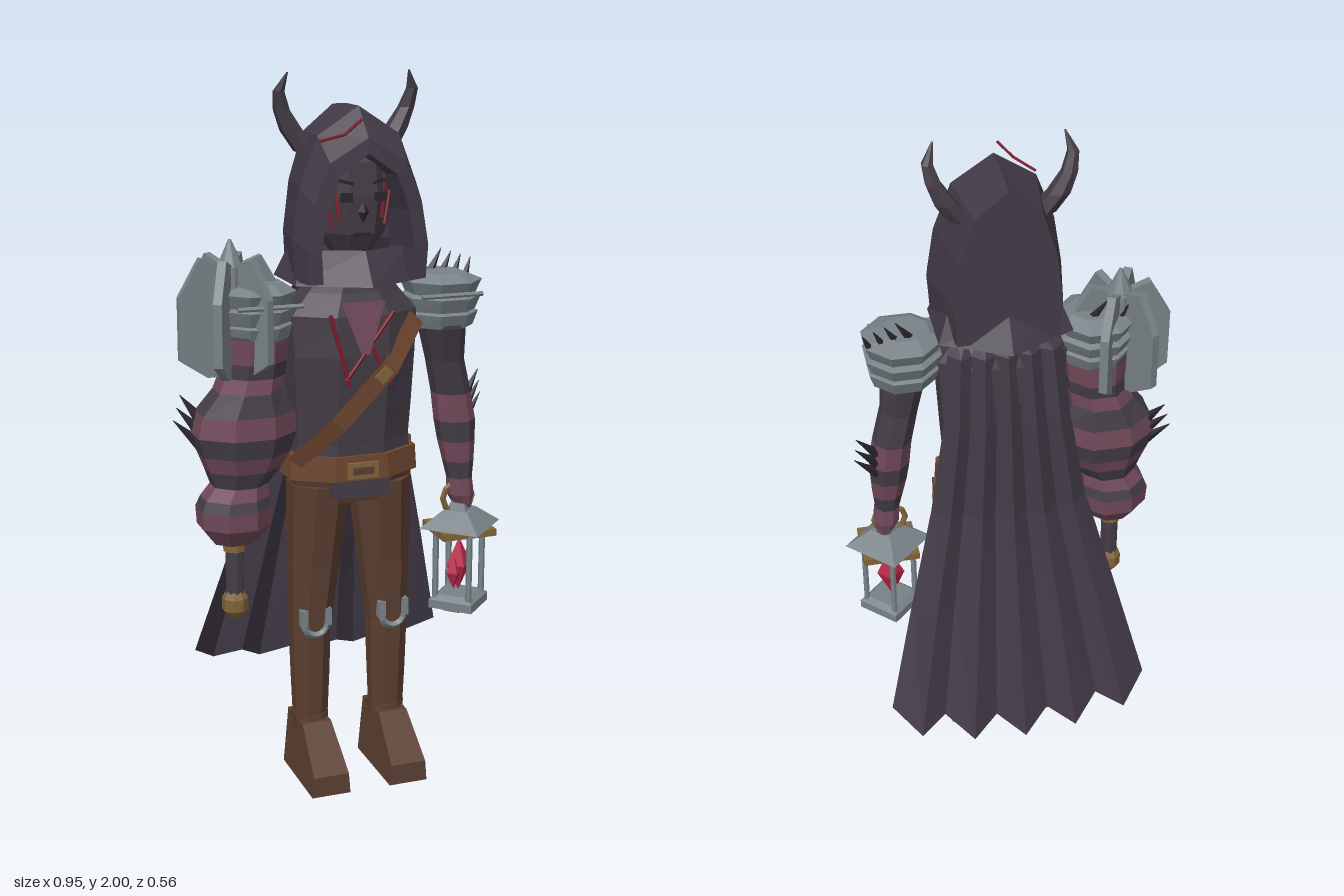
import * as THREE from 'three';

const CX = 0.012; // body centre line
const mat = (name, color, side = THREE.FrontSide) => {
  const m = new THREE.MeshStandardMaterial({ color, flatShading: true, side });
  m.name = name;
  return m;
};

export function createModel() {
  const root = new THREE.Group();
  root.name = 'hoodedWarrior';
  const cloth = mat('cloakCloth', 0x423a47, THREE.DoubleSide);
  const tunic = mat('darkTunic', 0x443c46);
  const skin = mat('bruisedSkin', 0x71495a, THREE.DoubleSide);
  const leather = mat('brownLeather', 0x5b3e31);
  const belt = mat('tanStrap', 0x6e4630, THREE.DoubleSide);
  const steel = mat('steel', 0x788287);
  const gold = mat('oldBrass', 0x80643a);
  const crystal = mat('redCrystal', 0xb8284a);
  const blood = mat('scarRed', 0x7e1c2a);
  const black = mat('blackHorn', 0x29242b);

  const add = (name, geo, m, x = 0, y = 0, z = 0) => {
    const mesh = new THREE.Mesh(geo, m);
    mesh.name = name;
    mesh.position.set(x, y, z);
    root.add(mesh);
    return mesh;
  };
  const box = (name, m, w, h, d, x, y, z) => add(name, new THREE.BoxGeometry(w, h, d), m, x, y, z);

  // Stacked rings [x, y, z, halfWidth, halfDepth, materialIndex], bottom to top
  const loft = (name, rings, mats, sides = 8, cap = true, phase = Math.PI / sides) => {
    const pos = [], geo = new THREE.BufferGeometry(), f = 1 / Math.cos(Math.PI / sides);
    const pt = ([x, y, z, rx, rz], k) => {
      const a = phase + (k % sides) * 2 * Math.PI / sides;
      return [x + Math.cos(a) * rx * f, y, z + Math.sin(a) * rz * f];
    };
    const last = rings.length - 1;
    for (let i = 0; i < last; i++) {
      const start = pos.length / 3, A = rings[i], B = rings[i + 1];
      for (let k = 0; k < sides; k++) {
        const a = pt(A, k), b = pt(A, k + 1), c = pt(B, k), d = pt(B, k + 1);
        pos.push(...a, ...c, ...b, ...b, ...c, ...d);
        if (cap && i === 0) pos.push(...A.slice(0, 3), ...a, ...b);
        if (cap && i === last - 1) pos.push(...B.slice(0, 3), ...d, ...c);
      }
      geo.addGroup(start, pos.length / 3 - start, A[5] || 0);
    }
    geo.setAttribute('position', new THREE.Float32BufferAttribute(pos, 3));
    geo.computeVertexNormals();
    return add(name, geo, mats);
  };

  // Open sheet through rows of [x, y, z] points
  const sheet = (name, rows, m) => {
    const pos = [];
    for (let i = 0; i < rows.length - 1; i++)
      for (let j = 0; j < rows[i].length - 1; j++) {
        const a = rows[i][j], b = rows[i][j + 1], c = rows[i + 1][j], d = rows[i + 1][j + 1];
        pos.push(...a, ...c, ...b, ...b, ...c, ...d);
      }
    const geo = new THREE.BufferGeometry();
    geo.setAttribute('position', new THREE.Float32BufferAttribute(pos, 3));
    geo.computeVertexNormals();
    return add(name, geo, m);
  };

  // Straight rod or spike between two points
  const rod = (name, m, a, b, r0, r1 = r0, sides = 6) => {
    const A = new THREE.Vector3(...a), B = new THREE.Vector3(...b), dir = B.clone().sub(A);
    const mesh = add(name, new THREE.CylinderGeometry(r1, r0, dir.length(), sides), m);
    mesh.position.copy(A).add(B).multiplyScalar(0.5);
    mesh.quaternion.setFromUnitVectors(new THREE.Vector3(0, 1, 0), dir.normalize());
    return mesh;
  };

  // Torso, hips and belt
  loft('torso', [[CX, 0.83, 0.1, 0.155, 0.08], [CX, 0.9, 0.1, 0.175, 0.1, 1], [CX, 1.0, 0.1, 0.162, 0.1, 1],
    [CX, 1.1, 0.1, 0.168, 0.11, 1], [CX, 1.25, 0.1, 0.175, 0.125, 1], [CX, 1.36, 0.1, 0.18, 0.115, 1],
    [CX, 1.42, 0.1, 0.13, 0.09, 1], [CX, 1.5, 0.1, 0.07, 0.07, 1]], [leather, tunic]);
  loft('belt', [[CX, 0.9, 0.1, 0.187, 0.112], [CX, 0.97, 0.1, 0.182, 0.11]], [belt]);
  box('buckle', gold, 0.09, 0.045, 0.012, CX, 0.93, 0.216);
  box('buckleInset', leather, 0.06, 0.02, 0.008, CX, 0.93, 0.221);
  box('beltFlap', tunic, 0.17, 0.05, 0.02, CX, 0.875, 0.195);
  box('pouch', belt, 0.06, 0.13, 0.08, 0.19, 0.905, 0.015);
  box('pouchClasp', gold, 0.008, 0.03, 0.02, 0.222, 0.92, 0.015);

  // Chest strap, bare collar and scars
  const path = [[-0.165, 0.95, 0.16], [-0.06, 1.065, 0.22], [0.085, 1.22, 0.234], [0.185, 1.34, 0.168]];
  sheet('chestStrap', path.map(([x, y, z]) => [[x - 0.02, y + 0.018, z], [x + 0.02, y - 0.018, z]]), belt);
  const clasp = box('strapClasp', gold, 0.045, 0.03, 0.009, 0.065, 1.2, 0.236);
  clasp.rotation.z = 0.8;
  sheet('openCollar', [[[-0.05, 1.4, 0.212], [0.075, 1.4, 0.212]], [[0, 1.26, 0.234], [0.025, 1.26, 0.234]]], skin);
  [[-0.085, 1.37, -0.03, 1.17], [0.095, 1.37, -0.04, 1.19], [0.03, 1.28, 0.09, 1.17]].forEach(([x, y, u, v]) =>
    rod('chestScar', blood, [x, y, 0.222], [u, v, 0.224], 0.006));

  // Legs, knee guards and boots
  const bootShape = new THREE.Shape([[0.025, 0], [0.285, 0], [0.285, 0.06], [0.16, 0.17], [0.03, 0.17]]
    .map(p => new THREE.Vector2(...p)));
  for (const s of [-1, 1]) {
    const x = CX + s * 0.117;
    loft('leg', [[x, 0.14, 0.1, 0.046, 0.042], [x, 0.3, 0.1, 0.052, 0.05], [x, 0.45, 0.098, 0.056, 0.058],
      [x - s * 0.012, 0.65, 0.098, 0.07, 0.072], [x - s * 0.027, 0.88, 0.1, 0.084, 0.088]], [leather]);
    const geo = new THREE.ExtrudeGeometry(bootShape, { depth: 0.114, bevelEnabled: false });
    geo.translate(0, 0, -0.057).rotateY(-Math.PI / 2);
    const p = geo.attributes.position;
    for (let i = 0; i < p.count; i++) p.setX(i, p.getX(i) * (1 - 1.4 * p.getY(i)));
    geo.computeVertexNormals();
    add('boot', geo, leather, x, 0, 0);
    loft('bootCuff', [[x, 0.16, 0.095, 0.048, 0.055], [x, 0.185, 0.095, 0.05, 0.053]], [leather]);
    const guard = add('kneeGuard', new THREE.TorusGeometry(0.033, 0.011, 4, 8, Math.PI), steel, x, 0.47, 0.155);
    guard.rotation.z = Math.PI;
    for (const t of [-1, 1]) box('kneeGuardEnd', steel, 0.02, 0.05, 0.025, x + t * 0.035, 0.49, 0.15);
  }

  // Hood, wrapped back to front and turned inward at the rim
  const half = [[0.18, 1.46], [0.187, 1.57], [0.165, 1.71], [0.115, 1.84]];
  const arch = [...half, [0, 1.915], ...half.map(([x, y]) => [-x, y]).reverse()];
  sheet('hood', [[-0.03, 0, 0.5], [-0.03, 0.78, 0.98], [0.08, 0.9, 1], [0.17, 1, 1], [0.245, 0.92, 0.83],
    [0.25, 0.7, 0.74], [0.1, 0.64, 0.7]].map(([z, sx, sy]) =>
    arch.map(([x, y]) => [CX + x * sx, 1.46 + (y - 1.46) * sy, z])), cloth);
  loft('hoodCollar', [[CX, 1.45, 0.097, 0.185, 0.162], [CX, 1.54, 0.1, 0.15, 0.11]], [cloth], 6, false, Math.PI / 2);

  // Masked face
  loft('face', [[CX, 1.52, 0.11, 0.05, 0.06], [CX, 1.58, 0.11, 0.085, 0.09], [CX, 1.68, 0.11, 0.1, 0.1],
    [CX, 1.77, 0.11, 0.09, 0.09], [CX, 1.82, 0.11, 0.05, 0.05]], [tunic]);
  for (const s of [-1, 1]) {
    const x = CX + s * 0.047;
    box('eye', black, 0.032, 0.024, 0.009, x, 1.68, 0.208);
    box('brow', black, 0.04, 0.008, 0.009, x, 1.72, 0.204).rotation.z = s * 0.25;
    rod('cheekScar', blood, [CX + s * 0.075, 1.76, 0.172], [CX + s * 0.06, 1.62, 0.19], 0.005);
    rod('cheekScar', blood, [CX + s * 0.1, 1.72, 0.155], [CX + s * 0.075, 1.6, 0.17], 0.005);
    // Horn
    loft('horn', [[0.11, 1.79, 0.07, 0.032], [0.15, 1.845, 0.06, 0.028], [0.178, 1.9, 0.062, 0.02],
      [0.19, 1.95, 0.075, 0.014], [0.172, 2.0, 0.095, 0.002]].map(([x, y, z, r]) => [CX + s * x, y, z, r, r]), [tunic], 6);
  }
  add('nose', new THREE.OctahedronGeometry(0.02), black, CX, 1.64, 0.208).scale.set(0.8, 1.5, 0.7);
  box('mouth', black, 0.05, 0.008, 0.009, CX, 1.58, 0.2);
  rod('hoodThread', blood, [-0.11, 1.83, 0.21], [-0.06, 1.85, 0.26], 0.004);
  rod('hoodThread', blood, [-0.06, 1.85, 0.26], [-0.02, 1.89, 0.28], 0.004);

  // Pleated cape with a jagged hem
  const capeRows = [[1.44, 0.03, 0.13], [1.4, -0.015, 0.16], [1.18, -0.05, 0.18], [0.9, -0.08, 0.225],
    [0.6, -0.155, 0.3], [0.23, -0.25, 0.385]];
  sheet('cape', capeRows.map(([y, z, w], i) => Array.from({ length: 11 }, (_, j) => {
    const u = (j - 5) / 5, fold = j % 2 ? -1 : 1, v = i / 5;
    return [CX + u * w, y + v ** 4 * (fold * 0.022 + 0.05 * u * u), z + fold * (0.008 + 0.017 * v) * Math.min(1, i)
      + u * u * (0.02 + 0.025 * v) + (fold > 0 ? 0.01 * v : 0)];
  })), cloth);

  // Layered shoulder plates with spikes
  for (const s of [-1, 1]) {
    const x = CX + s * 0.272;
    [[1.3, 0.085, 0.097], [1.345, 0.09, 0.104], [1.39, 0.09, 0.106]].forEach(([y, r0, r1]) =>
      loft('shoulderPlate', [[x, y, 0.1, r0, r0], [x, y + 0.04, 0.1, r1, r1 + 0.005],
        [x - s * 0.01, y + 0.062, 0.1, r1 * 0.6, r1 * 0.6]], [steel]));
    rod('shoulderBar', steel, [CX + s * 0.17, 1.4, 0.212], [CX + s * 0.35, 1.4, 0.212], 0.007);
    for (let i = 0; i < 4; i++)
      rod('shoulderSpike', black, [x + s * (0.085 - i * 0.035), 1.41 + i * 0.01, 0.065],
        [x + s * (0.112 - i * 0.03), 1.475 + i * 0.01, 0.05], 0.014, 0.001, 5);
  }

  // Left arm, banded at the forearm
  loft('leftArm', [[0.36, 0.76, 0.11, 0.022, 0.03, 1], [0.352, 0.8, 0.11, 0.036, 0.04, 1], [0.348, 0.85, 0.11, 0.034, 0.036],
    [0.345, 0.9, 0.105, 0.042, 0.042, 1], [0.34, 0.96, 0.1, 0.05, 0.05], [0.336, 1.02, 0.095, 0.055, 0.055, 1],
    [0.325, 1.1, 0.09, 0.052, 0.056], [0.3, 1.2, 0.1, 0.05, 0.058], [0.285, 1.3, 0.11, 0.06, 0.08],
    [0.27, 1.4, 0.105, 0.06, 0.08]], [tunic, skin]);
  // Right arm, swollen, ending in a heavy fist
  loft('rightArm', [[-0.325, 0.73, 0.1, 0.06, 0.055, 1], [-0.325, 0.78, 0.1, 0.097, 0.09, 1], [-0.325, 0.83, 0.1, 0.1, 0.093],
    [-0.322, 0.86, 0.1, 0.09, 0.082, 1], [-0.31, 0.895, 0.1, 0.075, 0.07], [-0.3, 0.94, 0.1, 0.1, 0.085, 1],
    [-0.295, 0.985, 0.1, 0.122, 0.1], [-0.295, 1.04, 0.1, 0.138, 0.11, 1], [-0.29, 1.1, 0.1, 0.13, 0.105],
    [-0.28, 1.16, 0.1, 0.09, 0.09, 1], [-0.27, 1.2, 0.1, 0.085, 0.082], [-0.265, 1.24, 0.1, 0.085, 0.085, 1],
    [-0.265, 1.31, 0.1, 0.09, 0.088], [-0.25, 1.4, 0.1, 0.07, 0.08]], [tunic, skin]);
  for (let i = 0; i < 3; i++) {
    const y = 1.0 + i * 0.035;
    rod('leftArmSpike', black, [0.375, y, 0.07], [0.44 - i * 0.004, y + 0.075, 0.04], 0.016, 0.001, 5);
    rod('rightArmSpike', black, [-0.405, y, 0.07], [-0.475 + i * 0.01, y + 0.07, 0.035], 0.02, 0.001, 5);
  }

  // Flanged mace held head up
  const mx = -0.325, mz = 0.097;
  rod('maceShaft', tunic, [mx, 0.56, mz], [mx, 1.5, mz], 0.026, 0.026, 8);
  loft('macePommel', [[mx, 0.5, mz, 0.015, 0.015], [mx, 0.525, mz, 0.034, 0.034], [mx, 0.56, mz, 0.034, 0.034],
    [mx, 0.585, mz, 0.02, 0.02]], [gold]);
  rod('maceCollar', gold, [mx, 0.7, mz], [mx, 0.73, mz], 0.032, 0.032, 8);
  rod('maceCore', steel, [mx, 1.2, mz], [mx, 1.5, mz], 0.045, 0.045, 8);
  rod('maceTip', steel, [mx, 1.48, mz], [mx, 1.57, mz], 0.045, 0.004, 8);
  const blade = new THREE.Shape([[0.02, 1.2], [0.07, 1.2], [0.145, 1.25], [0.145, 1.42], [0.085, 1.525], [0.02, 1.5]]
    .map(p => new THREE.Vector2(...p)));
  const bladeGeo = new THREE.ExtrudeGeometry(blade, { depth: 0.024, bevelEnabled: false }).translate(0, 0, -0.012);
  for (let i = 0; i < 6; i++) add('maceFlange', bladeGeo, steel, mx, 0, mz).rotation.y = i * Math.PI / 3;

  // Lantern with a diamond plan
  const lx = 0.349, lz = 0.118, d = Math.SQRT1_2;
  const diamond = (name, m, y0, r0, y1, r1) =>
    loft(name, [[lx, y0, lz, r0 * d, r0 * d], [lx, y1, lz, r1 * d, r1 * d]], [m], 4, true, 0);
  diamond('lanternRoof', steel, 0.705, 0.127, 0.755, 0.05);
  diamond('lanternCap', steel, 0.755, 0.04, 0.775, 0.03);
  box('lanternCeiling', gold, 0.165, 0.02, 0.155, lx, 0.695, lz);
  diamond('lanternBase', steel, 0.46, 0.094, 0.485, 0.094);
  diamond('lanternStep', steel, 0.485, 0.094, 0.5, 0.07);
  loft('lanternFoot', [[lx, 0.453, lz, 0.055, 0.055], [lx, 0.463, lz, 0.055, 0.055]], [gold]);
  for (let i = 0; i < 4; i++) {
    const a = i * Math.PI / 2, x = lx + Math.cos(a) * 0.073, z = lz + Math.sin(a) * 0.073;
    rod('lanternPost', steel, [x, 0.485, z], [x, 0.69, z], 0.009);
  }
  add('lanternCrystal', new THREE.OctahedronGeometry(0.045, 0), crystal, lx, 0.585, lz).scale.set(0.85, 1.8, 0.85);
  add('lanternShard', new THREE.OctahedronGeometry(0.03, 0), crystal, lx - 0.022, 0.565, lz + 0.015).scale.set(0.8, 1.7, 0.8);
  add('lanternHandle', new THREE.TorusGeometry(0.046, 0.009, 5, 10), gold, lx - 0.008, 0.79, lz);

  return root;
}
